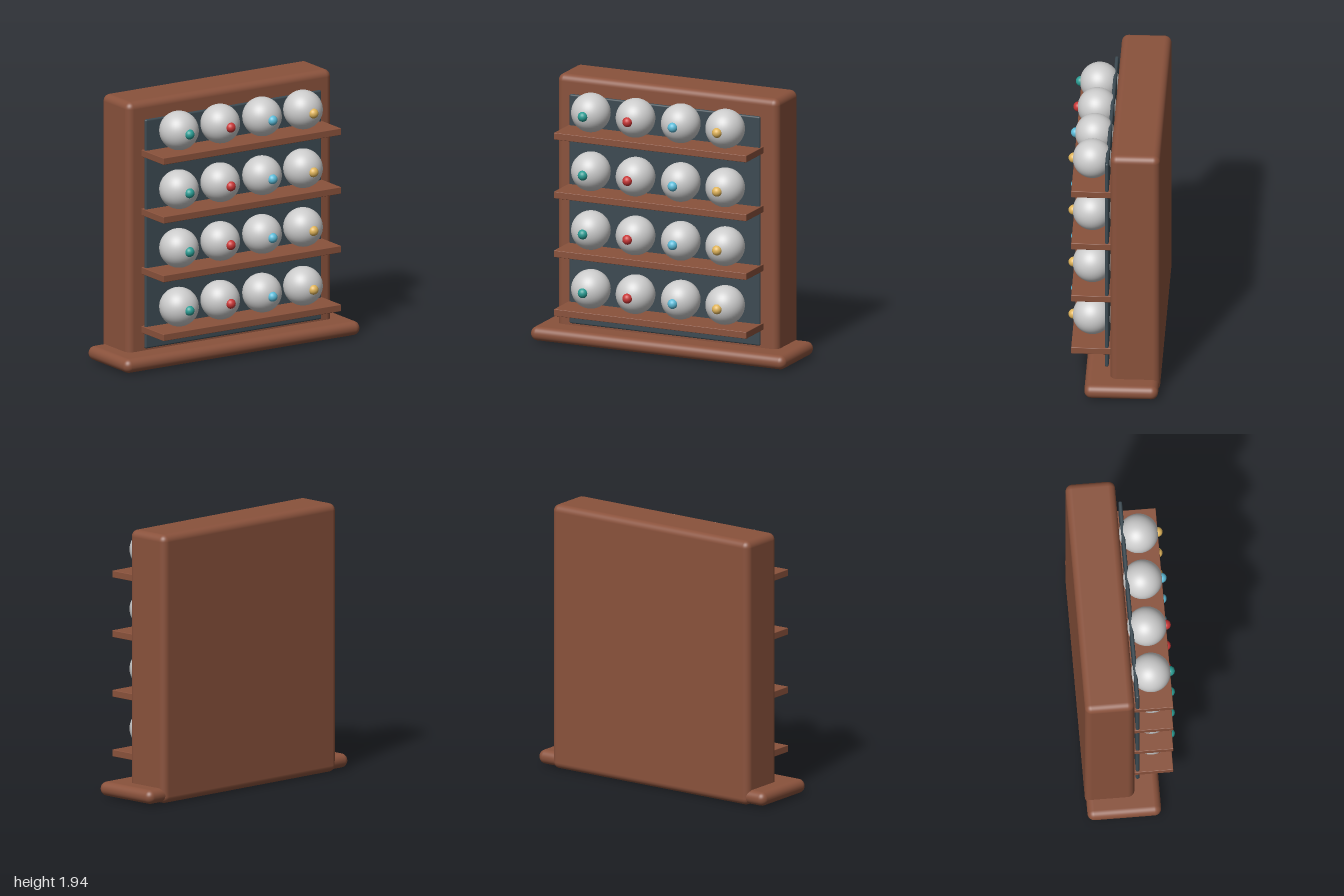
import * as THREE from 'three';
import { RoundedBoxGeometry } from 'three/addons/geometries/RoundedBoxGeometry.js';

const mat = (color) => new THREE.MeshStandardMaterial({ color });

export function createModel() {
  const model = new THREE.Group();
  model.name = 'displayRack';
  const wood = mat(0x8a523c);
  const slate = mat(0x3c4a52);
  const grey = mat(0xcccccc);
  const studMats = [0x2a9d94, 0xc83636, 0x5bbbd8, 0xe0b45a].map(mat);

  const add = (name, geometry, material, x, y, z, parent = model) => {
    const mesh = new THREE.Mesh(geometry, material);
    mesh.name = name;
    mesh.position.set(x, y, z);
    parent.add(mesh);
    return mesh;
  };

  // Rounded box given by its limits in y and z, centred on x = 0
  const slab = (name, width, y0, y1, z0, z1, radius, material, parent) =>
    add(name, new RoundedBoxGeometry(width, y1 - y0, z1 - z0, 5, radius), material,
      0, (y0 + y1) / 2, (z0 + z1) / 2, parent);

  // Cabinet body, foot and dark back panel
  slab('cabinet', 1.735, 0, 1.94, -0.333, 0.02, 0.05, wood);
  slab('base', 2, 0.01, 0.112, -0.325, 0.2, 0.05, wood);
  slab('backPanel', 1.495, 0.135, 1.815, 0.037, 0.063, 0.012, slate);

  // Four shelves, each with four balls carrying a coloured stud in front
  const ball = new THREE.SphereGeometry(0.141, 40, 28);
  const stud = new THREE.SphereGeometry(0.036, 24, 16);
  const columns = [-0.53, -0.18, 0.175, 0.523];
  for (let row = 0; row < 4; row++) {
    const tier = new THREE.Group();
    tier.name = `tier${row + 1}`;
    tier.position.y = 0.27 + row * 0.431;
    model.add(tier);
    slab('shelf', 1.51, -0.025, 0.025, 0.015, 0.303, 0.004, wood, tier);
    columns.forEach((x, i) => {
      add('ball', ball, grey, x, 0.166, 0.162, tier);
      add('stud', stud, studMats[i], x, 0.166, 0.297, tier);
    });
  }
  return model;
}
